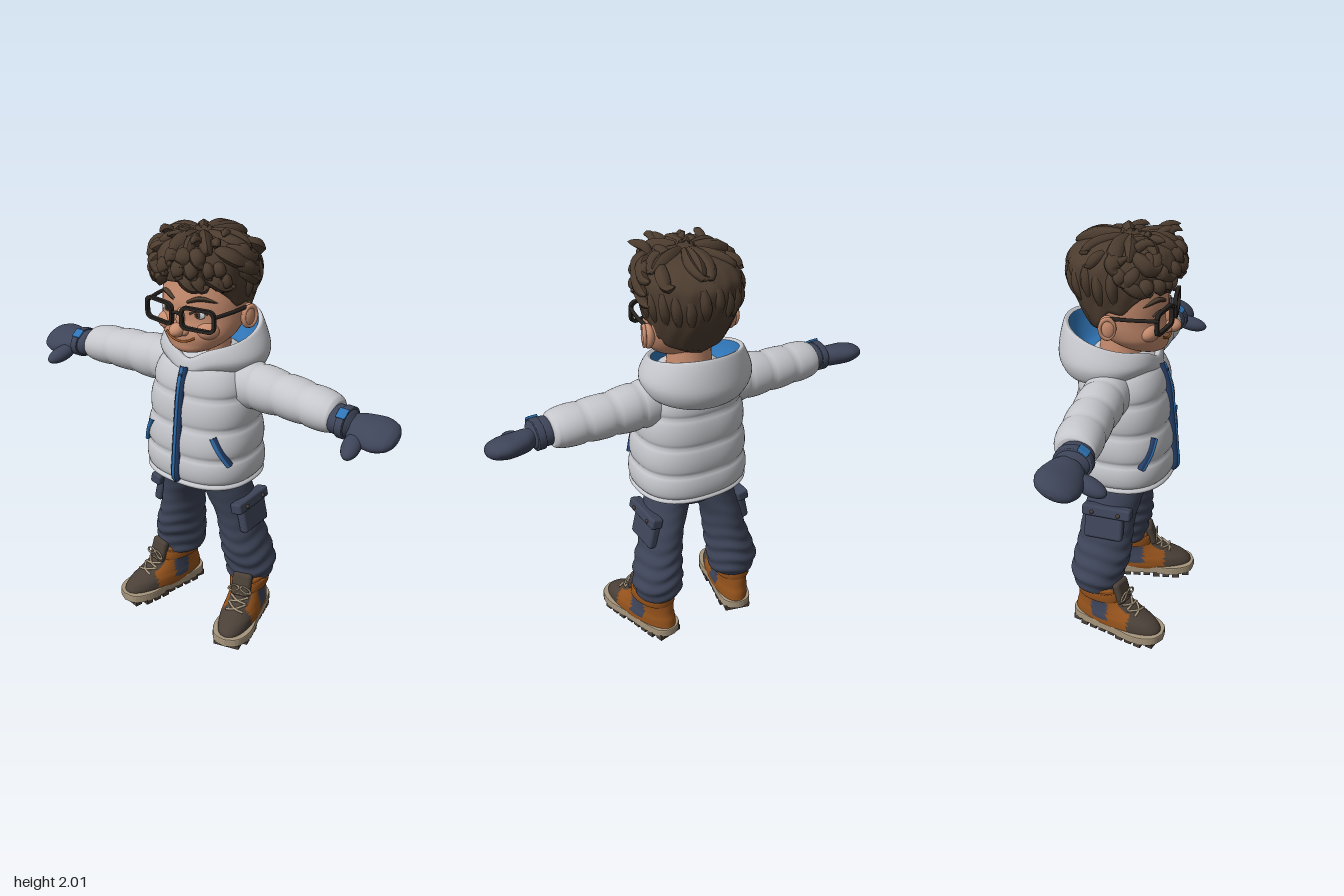
import * as THREE from 'three';
import { mergeGeometries } from 'three/addons/utils/BufferGeometryUtils.js';
import { RoundedBoxGeometry } from 'three/addons/geometries/RoundedBoxGeometry.js';

const TAU = Math.PI * 2;
const V = (x, y, z) => new THREE.Vector3(x, y, z);
const mat = (name, color) => Object.assign(new THREE.MeshStandardMaterial({ color }), { name });

// Smooth lookup in rows of [t, values...], without overshoot
function at(rows, t) {
  let i = 0;
  while (i < rows.length - 2 && t > rows[i + 1][0]) i++;
  const d = (j, k) => (rows[j + 1][k] - rows[j][k]) / (rows[j + 1][0] - rows[j][0]);
  const slope = (j, k) => {
    if (j === 0) return d(0, k);
    if (j === rows.length - 1) return d(j - 1, k);
    const a = d(j - 1, k), b = d(j, k);
    return a * b > 0 ? (2 * a * b) / (a + b) : 0;
  };
  const h = rows[i + 1][0] - rows[i][0], f = Math.min(1, Math.max(0, (t - rows[i][0]) / h));
  return rows[i].slice(1).map((p, n) => {
    const k = n + 1, q = rows[i + 1][k], g = 1 - f;
    return p * (1 + 2 * f) * g * g + slope(i, k) * h * f * g * g + q * f * f * (3 - 2 * f) - slope(i + 1, k) * h * f * f * g;
  });
}

// Surface closed around u; pick(x, y, z) may choose a material per face
function grid(nu, nv, f, pick) {
  const pos = [], lists = [], index = [];
  for (let j = 0; j <= nv; j++) for (let i = 0; i < nu; i++) pos.push(...f((i / nu) * TAU, j / nv));
  for (let j = 0; j < nv; j++) for (let i = 0; i < nu; i++) {
    const a = j * nu + i, b = j * nu + ((i + 1) % nu), c = b + nu, d = a + nu;
    const mid = [0, 1, 2].map((k) => (pos[a * 3 + k] + pos[c * 3 + k]) / 2);
    (lists[pick ? pick(...mid) : 0] ??= []).push(a, b, c, a, c, d);
  }
  const g = new THREE.BufferGeometry();
  lists.forEach((l, m) => { if (pick) g.addGroup(index.length, l.length, m); index.push(...l); });
  g.setAttribute('position', new THREE.Float32BufferAttribute(pos, 3));
  g.setIndex(index);
  g.computeVertexNormals();
  return g;
}

// Loft through rows [t, centreA, centreB, radiusA, radiusB] along y or x
const bend = (v, p) => Math.sign(v) * Math.abs(v) ** (2 / p);
function loft(rows, { axis = 'y', nu = 40, k = 6, p = 2, bump = () => 1, pick } = {}) {
  const ts = [rows[0][0]];
  for (let i = 1; i < rows.length; i++)
    for (let j = 1; j <= k; j++) ts.push(rows[i - 1][0] + ((rows[i][0] - rows[i - 1][0]) * j) / k);
  return grid(nu, ts.length - 1, (u, v) => {
    const t = ts[Math.round(v * (ts.length - 1))], [ca, cb, ra, rb] = at(rows, t), s = bump(t, u);
    const a = ca + ra * s * bend(Math.sin(u), p), b = cb + rb * s * bend(Math.cos(u), p);
    return axis === 'y' ? [a, t, b] : [t, b, a];
  }, pick);
}
const frontZ = (rows, x, y, p = 2) => {
  const [, c, rx, rz] = at(rows, y);
  return c + rz * Math.max(0, 1 - Math.abs(x / rx) ** p) ** (1 / p);
};
const puff = (seams, d) => (t) => {
  const i = seams.findIndex((s) => s > t);
  if (i < 1) return 1 - d;
  return 1 - d + 1.6 * d * Math.sqrt(Math.sin((Math.PI * (t - seams[i - 1])) / (seams[i] - seams[i - 1])));
};
const tube = (pts, r, n = 16) => new THREE.TubeGeometry(new THREE.CatmullRomCurve3(pts), n, r, 8);
const ball = (x, y, z, rx, ry, rz) => new THREE.SphereGeometry(1, 24, 16).scale(rx, ry, rz).translate(x, y, z);
const rbox = (w, h, d, r = 0.01) => new RoundedBoxGeometry(w, h, d, 2, r);

// Pointed lock of hair along a curve
function lock(pts, r) {
  const c = new THREE.CatmullRomCurve3(pts), g = new THREE.TubeGeometry(c, 10, r, 6), a = g.attributes.position;
  for (let i = 0; i < a.count; i++) {
    const t = Math.floor(i / 7) / 10, o = c.getPointAt(t), w = Math.sin(Math.PI * (0.15 + 0.85 * t)) ** 0.8;
    const q = V().fromBufferAttribute(a, i).sub(o).multiplyScalar(w).add(o);
    a.setXYZ(i, q.x, q.y, q.z);
  }
  g.computeVertexNormals();
  return g;
}
function roundRect(S, w, h, r) {
  const s = new S(), x = w / 2, y = h / 2;
  s.moveTo(-x + r, -y).lineTo(x - r, -y).quadraticCurveTo(x, -y, x, -y + r).lineTo(x, y - r).quadraticCurveTo(x, y, x - r, y);
  return s.lineTo(-x + r, y).quadraticCurveTo(-x, y, -x, y - r).lineTo(-x, -y + r).quadraticCurveTo(-x, -y, -x + r, -y);
}
function mirrored(g) {
  const m = g.clone().scale(-1, 1, 1);
  if (!m.index) m.setIndex([...Array(m.attributes.position.count).keys()]);
  const a = m.index.array;
  for (let i = 0; i < a.length; i += 3) [a[i + 1], a[i + 2]] = [a[i + 2], a[i + 1]];
  return m;
}

export function createModel() {
  const root = new THREE.Group();
  const skin = mat('skin', 0xc98e70), hair = mat('hair', 0x4c3c2f), shell = mat('jacket', 0xc6c7cc), navy = mat('navy', 0x3e4559);
  const blue = mat('lining blue', 0x2f74b5), deep = mat('zip blue', 0x263f6b), leather = mat('leather', 0x96531c);
  const brown = mat('dark brown', 0x4a4038), tan = mat('sole tan', 0xa6957c), black = mat('frame black', 0x26221f);
  const add = (name, g, m) => {
    const mesh = new THREE.Mesh(g, m);
    mesh.name = name;
    root.add(mesh);
  };
  const pair = (name, g, m) => { add(name + 'Left', g, m); add(name + 'Right', mirrored(g), m); };

  // Head and face
  const headRows = [[1.45, 0, 0.14, 0, 0], [1.458, 0, 0.13, 0.07, 0.065], [1.5, 0, 0.085, 0.145, 0.128], [1.55, 0, 0.055, 0.183, 0.163],
    [1.62, 0, 0.02, 0.2, 0.185], [1.7, 0, 0, 0.205, 0.205], [1.8, 0, -0.01, 0.2, 0.2], [1.88, 0, 0, 0.15, 0.15], [1.92, 0, 0, 0, 0]];
  const onFace = (x, y, lift = 0) => V(x, y, frontZ(headRows, x, y) + lift);
  add('head', loft(headRows), skin);
  add('neck', new THREE.CylinderGeometry(0.1, 0.11, 0.18, 32).translate(0, 1.44, 0), skin);
  add('nose', mergeGeometries([ball(0, 1.572, 0.228, 0.036, 0.032, 0.044), ball(0, 1.615, 0.203, 0.022, 0.055, 0.025),
    ball(0.027, 1.566, 0.215, 0.02, 0.02, 0.024), ball(-0.027, 1.566, 0.215, 0.02, 0.02, 0.024)]), skin);
  pair('cheek', ball(0.1, 1.572, 0.15, 0.062, 0.045, 0.05), skin);
  pair('ear', ball(0.212, 1.615, -0.005, 0.028, 0.058, 0.04), skin);
  pair('earRim', new THREE.TorusGeometry(0.036, 0.009, 8, 24).scale(0.9, 1.25, 1).rotateY(1.2).translate(0.228, 1.618, 0), skin);
  pair('eye', ball(0.085, 1.648, 0.186, 0.033, 0.02, 0.01), shell);
  pair('iris', ball(0.083, 1.648, 0.194, 0.015, 0.016, 0.005), hair);
  pair('pupil', ball(0.083, 1.648, 0.198, 0.007, 0.008, 0.003), black);
  pair('eyelid', tube([onFace(0.05, 1.65, 0.006), onFace(0.085, 1.669, 0.008), onFace(0.122, 1.652, 0.006)], 0.005), brown);
  pair('eyebrow', lock([onFace(0.035, 1.7, 0.002), onFace(0.09, 1.72, 0.004), onFace(0.155, 1.7, 0.002)], 0.012), hair);
  add('smile', tube([-0.078, -0.045, 0, 0.045, 0.078].map((x) => onFace(x, 1.516 + 4.5 * x * x, 0.003)), 0.005), leather);

  // Glasses
  const rim = roundRect(THREE.Shape, 0.172, 0.108, 0.035);
  rim.holes.push(roundRect(THREE.Path, 0.144, 0.08, 0.026));
  pair('glassesRim', new THREE.ExtrudeGeometry(rim, { depth: 0.018, bevelEnabled: false, curveSegments: 8 }).rotateY(0.16).translate(0.103, 1.638, 0.213), black);
  add('glassesBridge', tube([V(-0.022, 1.65, 0.234), V(0, 1.657, 0.24), V(0.022, 1.65, 0.234)], 0.008), black);
  pair('glassesTemple', tube([V(0.185, 1.662, 0.21), V(0.208, 1.662, 0.1), V(0.215, 1.66, -0.01)], 0.009), black);

  // Hair cap with a shaped hairline, then loose locks
  const hairRows = [[1.5, 0, -0.01, 0.12, 0.1], [1.55, 0, 0, 0.155, 0.135], [1.62, 0, 0, 0.195, 0.172], [1.7, 0, 0, 0.212, 0.215],
    [1.8, 0, 0, 0.226, 0.243], [1.86, 0, 0.005, 0.224, 0.25], [1.92, 0, 0.02, 0.192, 0.218], [1.955, 0, 0.035, 0.135, 0.155], [1.975, 0, 0.04, 0, 0]];
  const hairline = [[0, 1.785], [0.7, 1.77], [1.05, 1.715], [1.28, 1.66], [1.55, 1.67], [1.8, 1.61], [2.1, 1.56], [Math.PI, 1.525]];
  const onHair = (a, y, s) => {
    const [, c, rx, rz] = at(hairRows, y);
    return V(rx * s * Math.sin(a), y, c + rz * s * Math.cos(a));
  };
  add('hairCap', grid(80, 30, (u, v) => {
    const low = at(hairline, Math.abs(Math.atan2(Math.sin(u), Math.cos(u))))[0];
    const y = low + (1.975 - low) * Math.sin((v * Math.PI) / 2);
    const s = v === 0 ? 0.86 : 1 + 0.014 * Math.sin(9 * u + 16 * y) + 0.008 * Math.sin(17 * u - 30 * y);
    return onHair(u, y, s).toArray();
  }), hair);
  let seed = 7;
  const rnd = () => (seed = (seed * 16807) % 2147483647) / 2147483647;
  const locks = [];
  for (const [y, n, spread] of [[1.81, 11, 1.25], [1.86, 11, 1.45], [1.91, 12, 2], [1.945, 12, 3]])
    for (let i = 0; i < n; i++) {
      const a = spread * ((2 * i) / (n - 1) - 1) + (rnd() - 0.5) * 0.2, sway = (rnd() - 0.35) * 0.7;
      const flip = rnd() * 0.03;
      locks.push(lock([onHair(a, y + 0.025, 0.95), onHair(a + sway * 0.5, y, 1.02), onHair(a + sway, y - 0.03, 1.04),
        onHair(a + sway * 1.5, y - 0.035 + flip, 1.09)], 0.026 + rnd() * 0.012));
    }
  for (let i = 0; i < 9; i++) {
    const x = -0.13 + i * 0.032, z = -0.02 + rnd() * 0.18, s = (rnd() - 0.5) * 0.12;
    locks.push(lock([V(x, 1.93, z), V(x + s * 0.3, 1.965, z + 0.03), V(x + s, 1.975 + rnd() * 0.015, z + 0.07), V(x + s * 1.3, 1.975, z + 0.1)], 0.024));
  }
  locks.push(lock([V(-0.02, 1.94, 0.1), V(-0.03, 1.98, 0.12), V(-0.06, 2, 0.14)], 0.02));
  for (let i = 0; i < 13; i++) {
    const a = 1.5 + i * 0.27, y = 1.84 + rnd() * 0.06;
    locks.push(lock([onHair(a, y, 0.95), onHair(a + 0.06, y - 0.07, 0.96), onHair(a + 0.1, y - 0.17, 0.93)], 0.028));
  }
  add('hairLocks', mergeGeometries(locks), hair);

  // Quilted jacket
  const bodyRows = [[0.81, 0, 0.02, 0.19, 0.15], [0.83, 0, 0.018, 0.278, 0.236], [0.955, 0, 0.02, 0.274, 0.233], [1.1, 0, 0.015, 0.262, 0.222],
    [1.25, 0, 0.012, 0.248, 0.208], [1.38, 0, 0.005, 0.205, 0.175], [1.43, 0, 0, 0.13, 0.13], [1.44, 0, 0, 0.1, 0.1]];
  add('jacketBody', loft(bodyRows, { nu: 56, k: 10, p: 2.4, bump: puff([0.83, 0.955, 1.1, 1.25, 1.38], 0.04) }), shell);
  add('jacketHem', loft([[0.8, 0, 0.02, 0.18, 0.14], [0.802, 0, 0.02, 0.26, 0.222], [0.82, 0, 0.02, 0.28, 0.238], [0.84, 0, 0.02, 0.262, 0.222]],
    { nu: 56, p: 2.4 }), shell);
  const onBody = (x, y, lift) => V(x, y, frontZ(bodyRows, x, y, 2.4) + lift);
  const zipYs = [0.815, 0.84, 0.95, 1.05, 1.15, 1.25, 1.32, 1.38];
  add('zipTape', tube(zipYs.map((y) => onBody(0, y, 0)), 0.021, 40), deep);
  add('zipTeeth', tube(zipYs.map((y) => onBody(0, y, 0.017)), 0.008, 40), blue);
  add('zipPull', rbox(0.018, 0.05, 0.012, 0.004).translate(0, 1.33, 0.212), deep);
  const slot = (lift) => [[0.172, 1.08], [0.205, 1.01], [0.238, 0.94]].map(([x, y]) => onBody(x, y, lift));
  pair('pocketTrim', tube(slot(0), 0.017), deep);
  pair('pocketZip', tube(slot(0.01), 0.011), blue);

  // Hood: outer shell and blue lining, rows of [step, centreZ, rx, rz, yFront, yBack]
  const ring = (rows) => grid(64, 24, (u, v) => {
    const [c, rx, rz, yf, yb] = at(rows, v * (rows.length - 1)), d = Math.atan2(Math.sin(u), Math.cos(u));
    const y = yf + ((yb - yf) * (1 - Math.cos(u))) / 2 - 0.05 * Math.exp(-((d / 0.35) ** 2));
    return [rx * Math.sin(u), y, c + rz * Math.cos(u)];
  });
  add('hood', ring([[0, -0.02, 0.16, 0.15, 1.35, 1.28], [1, -0.045, 0.245, 0.215, 1.38, 1.33], [2, -0.055, 0.265, 0.24, 1.415, 1.42],
    [3, -0.052, 0.235, 0.228, 1.455, 1.53], [4, -0.05, 0.215, 0.215, 1.467, 1.57], [5, -0.05, 0.2, 0.198, 1.46, 1.562]]), shell);
  add('hoodLining', ring([[0, -0.05, 0.2, 0.198, 1.46, 1.562], [1, -0.04, 0.185, 0.185, 1.44, 1.5], [2, -0.02, 0.14, 0.15, 1.4, 1.43], [3, 0, 0.06, 0.06, 1.39, 1.41]]), blue);

  // Sleeves and mittens
  pair('sleeve', loft([[0.14, 0, 1.29, 0.08, 0.09], [0.2, -0.005, 1.29, 0.105, 0.112], [0.28, -0.008, 1.288, 0.107, 0.11], [0.41, -0.008, 1.284, 0.104, 0.1],
    [0.55, 0, 1.28, 0.104, 0.094], [0.68, 0.01, 1.275, 0.098, 0.086], [0.7, 0.012, 1.272, 0.08, 0.07], [0.702, 0.015, 1.272, 0.02, 0.02]],
    { axis: 'x', k: 8, bump: puff([0.14, 0.28, 0.41, 0.55, 0.68], 0.045) }), shell);
  pair('mittenCuff', loft([[0.68, 0.025, 1.268, 0.062, 0.055], [0.71, 0.028, 1.268, 0.078, 0.064], [0.77, 0.03, 1.264, 0.075, 0.062], [0.79, 0.03, 1.26, 0.05, 0.04]], { axis: 'x' }), navy);
  pair('mittenStrap', loft([[0.733, 0.03, 1.266, 0.07, 0.055], [0.737, 0.03, 1.266, 0.086, 0.071], [0.769, 0.03, 1.265, 0.086, 0.071], [0.773, 0.03, 1.264, 0.07, 0.055]], { axis: 'x', k: 3 }), navy);
  pair('mittenTab', rbox(0.045, 0.012, 0.05, 0.004).rotateX(0.6).translate(0.752, 1.324, 0.075), blue);
  const hand = loft([[0.765, 0.03, 1.258, 0.05, 0.045], [0.82, 0.022, 1.25, 0.08, 0.054], [0.9, 0.018, 1.246, 0.096, 0.053], [0.955, 0.018, 1.245, 0.08, 0.042],
    [0.982, 0.02, 1.244, 0.045, 0.024], [0.992, 0.02, 1.243, 0, 0]], { axis: 'x' });
  const hp = hand.attributes.position;
  for (let i = 0; i < hp.count; i++) hp.setY(i, hp.getY(i) - 0.25 * (hp.getZ(i) - 0.02));
  hand.computeVertexNormals();
  pair('mitten', hand, navy);
  pair('mittenThumb', ball(0, 0, 0, 0.042, 0.036, 0.085).rotateX(0.25).rotateY(0.22).translate(0.828, 1.212, 0.118), navy);

  // Trousers with folds that deepen toward the ankle
  add('trouserSeat', loft([[0.69, 0, 0, 0, 0], [0.71, 0, 0, 0.1, 0.09], [0.75, 0, 0.005, 0.19, 0.135], [0.83, 0, 0.02, 0.205, 0.15]]), navy);
  pair('trouserLeg', loft([[0.215, 0.215, -0.055, 0.07, 0.08], [0.235, 0.215, -0.058, 0.108, 0.112], [0.3, 0.217, -0.06, 0.125, 0.128], [0.4, 0.203, -0.042, 0.115, 0.138],
    [0.5, 0.182, -0.03, 0.102, 0.132], [0.6, 0.163, -0.02, 0.096, 0.13], [0.7, 0.132, 0, 0.104, 0.132], [0.81, 0.105, 0.018, 0.1, 0.145]], {
    k: 12, nu: 48, bump: (y, u) => 1 + 0.035 * Math.max(0.15, Math.min(1, (0.62 - y) / 0.2)) * Math.sin(y * 85 + 2.2 * Math.sin(u + 1) + Math.sin(3 * u)),
  }), navy);
  const onLeg = (g, x, y, z) => g.rotateZ(0.22).translate(x, y, z);
  pair('cargoPocket', onLeg(rbox(0.045, 0.15, 0.19, 0.015), 0.25, 0.61, -0.015), navy);
  pair('cargoFlap', onLeg(rbox(0.06, 0.055, 0.24, 0.012), 0.243, 0.68, -0.002), navy);
  for (const z of [-0.07, 0.06]) pair('cargoButton', ball(0.275, 0.683, z, 0.008, 0.01, 0.01), brown);

  // Boots, toes turned outward
  const boot = (name, g, m) => pair(name, g.rotateY(0.24).translate(0.255, 0, 0.055), m);
  const outline = new THREE.Shape(new THREE.SplineCurve([[0, -0.25], [0.06, -0.225], [0.093, -0.14], [0.084, -0.02], [0.078, 0.12], [0.06, 0.21], [0, 0.24],
    [-0.06, 0.21], [-0.078, 0.12], [-0.08, -0.02], [-0.09, -0.14], [-0.06, -0.225], [0, -0.25]].map(([x, y]) => new THREE.Vector2(x, y))).getPoints(60));
  boot('midsole', new THREE.ExtrudeGeometry(outline, { depth: 0.032, bevelSize: 0.006, bevelThickness: 0.006, bevelSegments: 2 }).rotateX(-Math.PI / 2).translate(0, 0.026, 0), tan);
  const lugs = [];
  for (let i = 0; i < 9; i++) {
    const z = -0.205 + i * 0.052, w = i === 0 || i === 8 ? 0.13 : i > 4 && i < 8 ? 0.18 : 0.16;
    lugs.push(new THREE.BoxGeometry(w, 0.03, 0.036).translate(0, 0.015, z));
  }
  boot('treadLugs', mergeGeometries(lugs), brown);
  const bootRows = [[0.05, 0, 0, 0.086, 0.238], [0.07, 0, 0, 0.09, 0.236], [0.1, 0, -0.01, 0.089, 0.222], [0.13, 0, -0.035, 0.083, 0.188], [0.17, 0, -0.072, 0.079, 0.145],
    [0.21, 0, -0.092, 0.083, 0.118], [0.25, 0, -0.095, 0.084, 0.112], [0.265, 0, -0.095, 0.06, 0.09]];
  boot('bootUpper', loft(bootRows, {
    nu: 64, p: 2.2, pick: (x, y, z) => {
      if (z > 0.095 && y < 0.145) return 1;
      if (y > 0.13 && z > -0.02 && Math.abs(x) < 0.05) return 1;
      return y > 0.085 && y < 0.19 && z > -0.11 && z < -0.02 ? 2 : 0;
    },
  }), [leather, brown, navy]);
  boot('ankleStrap', loft([[0.185, 0, -0.09, 0.075, 0.11], [0.19, 0, -0.09, 0.09, 0.126], [0.235, 0, -0.094, 0.093, 0.122], [0.24, 0, -0.094, 0.075, 0.1]], { k: 3, p: 2.2 }), leather);
  boot('tongue', rbox(0.1, 0.12, 0.04, 0.018).rotateX(-0.3).translate(0, 0.235, 0.022), brown);
  const laceAt = (x, y) => V(x, y, frontZ(bootRows, x, y, 2.2) + 0.012);
  const laces = [0.14, 0.162, 0.185, 0.208].flatMap((y) => [1, -1].map((s) => tube([laceAt(-0.045 * s, y), laceAt(0, y + 0.012), laceAt(0.045 * s, y + 0.02)], 0.006)));
  laces.push(...[1, -1].map((s) => new THREE.TorusGeometry(0.02, 0.005, 6, 16).scale(1.4, 0.8, 1).rotateZ(-0.4 * s).translate(0.03 * s, 0.225, 0.052)));
  boot('laces', mergeGeometries(laces), tan);
  return root;
}
